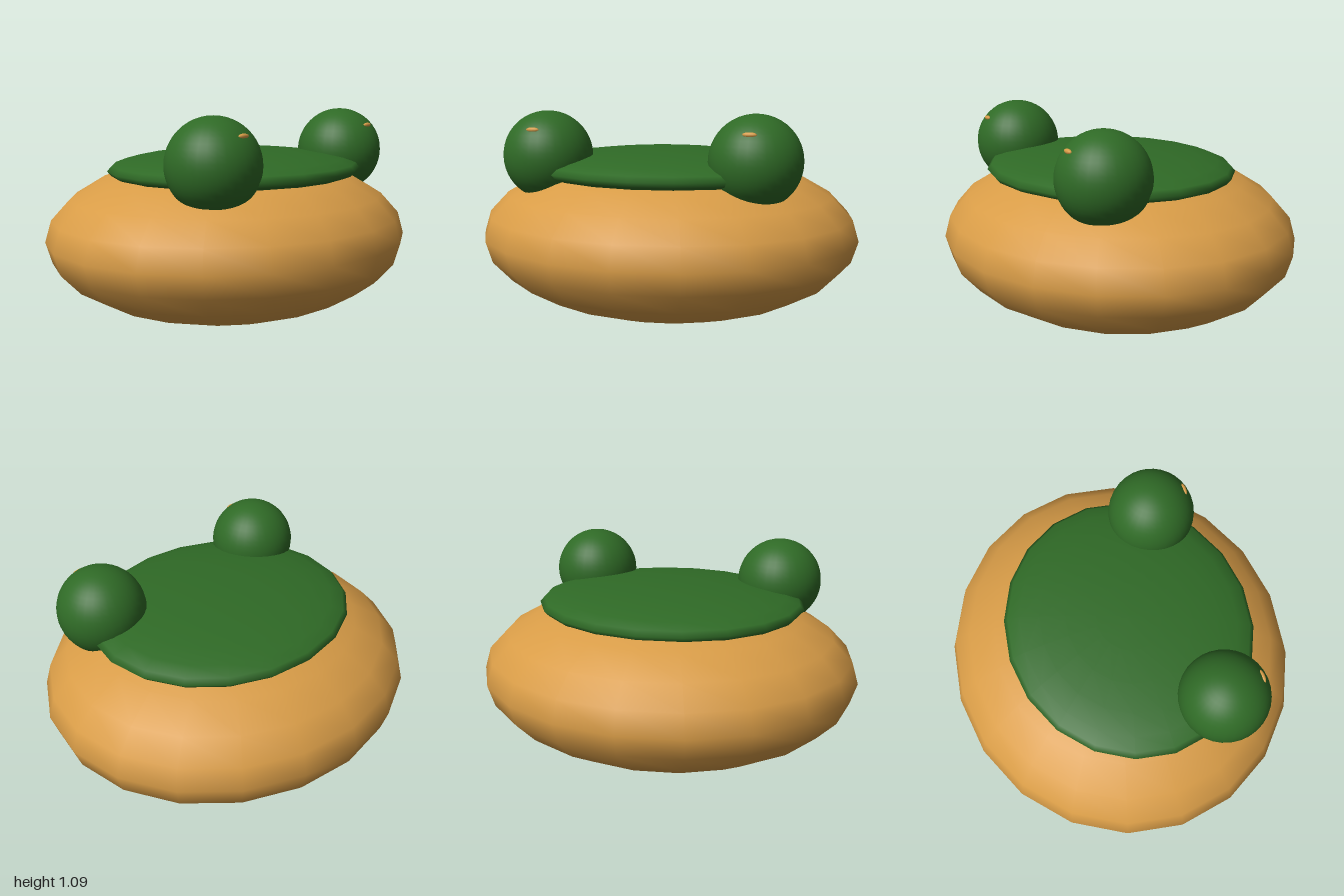
import * as THREE from 'three';

const tan = new THREE.MeshStandardMaterial({ name: 'warm tan', color: 0xd89c47 });
const green = new THREE.MeshStandardMaterial({ name: 'leaf green', color: 0x2f6a26 });

// Smooth ellipsoid from a sphere, with given radii and segment counts
function ellipsoid(name, material, [rx, ry, rz], [x, y, z], across, rings) {
  const geometry = new THREE.SphereGeometry(1, across, rings);
  geometry.scale(rx, ry, rz);
  const mesh = new THREE.Mesh(geometry, material);
  mesh.name = name;
  mesh.position.set(x, y, z);
  return mesh;
}

export function createModel() {
  const model = new THREE.Group();
  model.name = 'bunWithEyes';

  // Squashed round body and the flat cap lying on it
  model.add(ellipsoid('body', tan, [1, 0.43, 0.905], [0, 0.43, 0], 20, 12));
  model.add(ellipsoid('cap', green, [0.705, 0.1, 0.628], [0, 0.785, 0.047], 20, 12));

  // Bulging eyes, each with a small glint high on its front
  for (const [side, s] of [['left', 1], ['right', -1]]) {
    const eye = new THREE.Group();
    eye.name = side + 'Eye';
    eye.position.set(s * 0.53, 0.86, 0.353);
    eye.add(ellipsoid(side + 'Eyeball', green, [0.225, 0.225, 0.225], [0, 0, 0], 32, 24));
    eye.add(ellipsoid(side + 'Glint', tan, [0.034, 0.012, 0.012], [0, 0.14, 0.173], 12, 8));
    model.add(eye);
  }

  return model;
}
